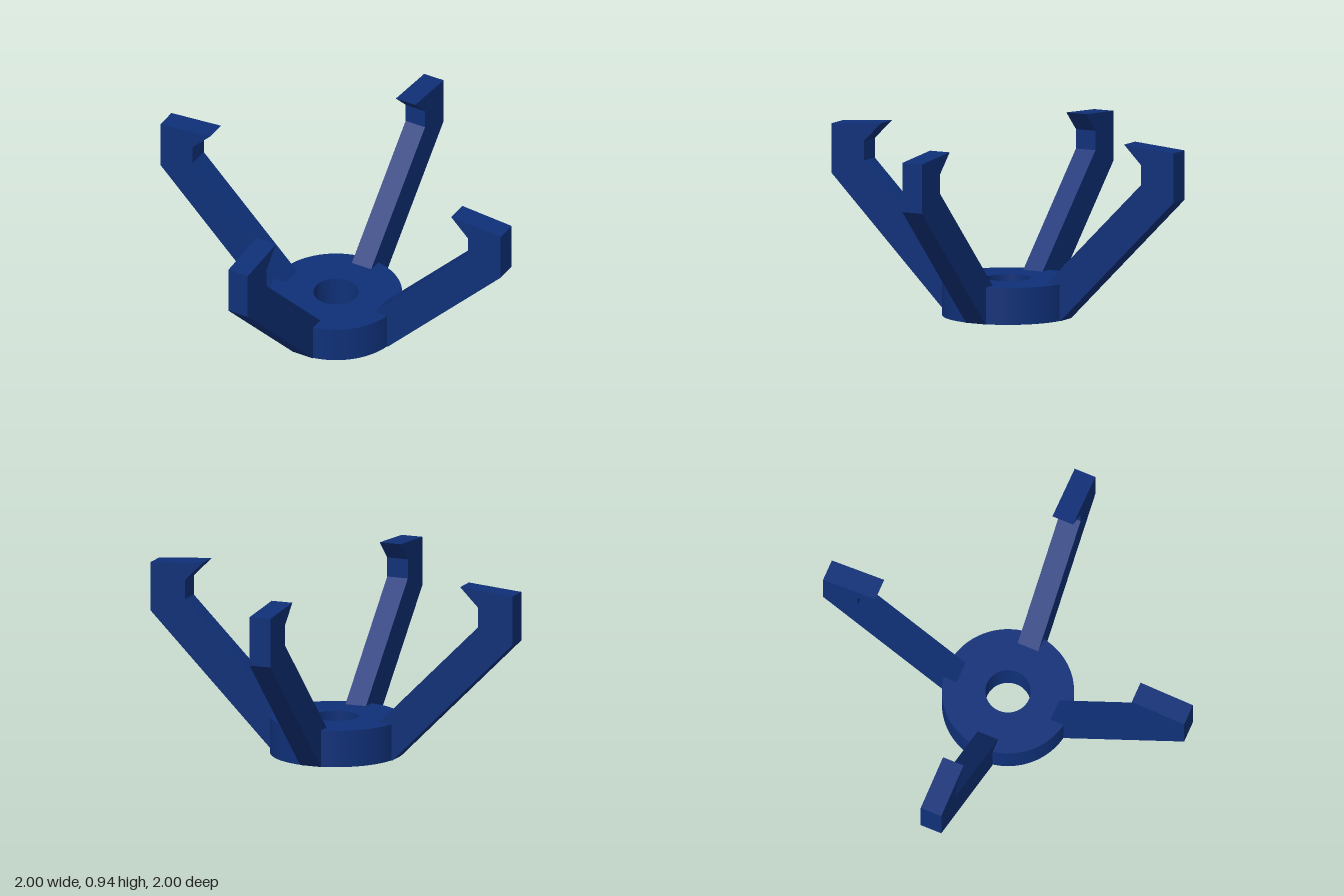
import * as THREE from 'three';
import { toCreasedNormals } from 'three/addons/utils/BufferGeometryUtils.js';

const HUB_RADIUS = 0.337, HOLE_RADIUS = 0.115, HUB_HEIGHT = 0.19, ARM_WIDTH = 0.114;

export function createModel() {
  const model = new THREE.Group();
  model.name = 'fourArmHolder';
  const material = new THREE.MeshStandardMaterial({ color: 0x0f3078 });

  // Round hub with a through hole
  const ring = [
    [HOLE_RADIUS, 0], [HUB_RADIUS, 0], [HUB_RADIUS, HUB_HEIGHT], [HOLE_RADIUS, HUB_HEIGHT], [HOLE_RADIUS, 0],
  ].map(([r, y]) => new THREE.Vector2(r, y));
  const hub = new THREE.Mesh(toCreasedNormals(new THREE.LatheGeometry(ring, 96), 0.6), material);
  hub.name = 'hub';
  model.add(hub);

  // Arm side profile: sloped strut, upright tip and inward hook
  const profile = new THREE.Shape([
    [HUB_RADIUS, 0], [1, 0.663], [1, 0.917], [0.71, 0.94], [0.81, 0.84], [0.81, 0.74],
    [0.26, HUB_HEIGHT], [0.26, 0],
  ].map(([x, y]) => new THREE.Vector2(x, y)));
  const armGeometry = new THREE.ExtrudeGeometry(profile, { depth: ARM_WIDTH, bevelEnabled: false });
  armGeometry.translate(0, 0, -ARM_WIDTH / 2);

  // Four arms around the hub
  ['leftArm', 'backArm', 'rightArm', 'frontArm'].forEach((name, i) => {
    const arm = new THREE.Mesh(armGeometry, material);
    arm.name = name;
    arm.rotation.y = (i * Math.PI) / 2;
    model.add(arm);
  });

  return model;
}
